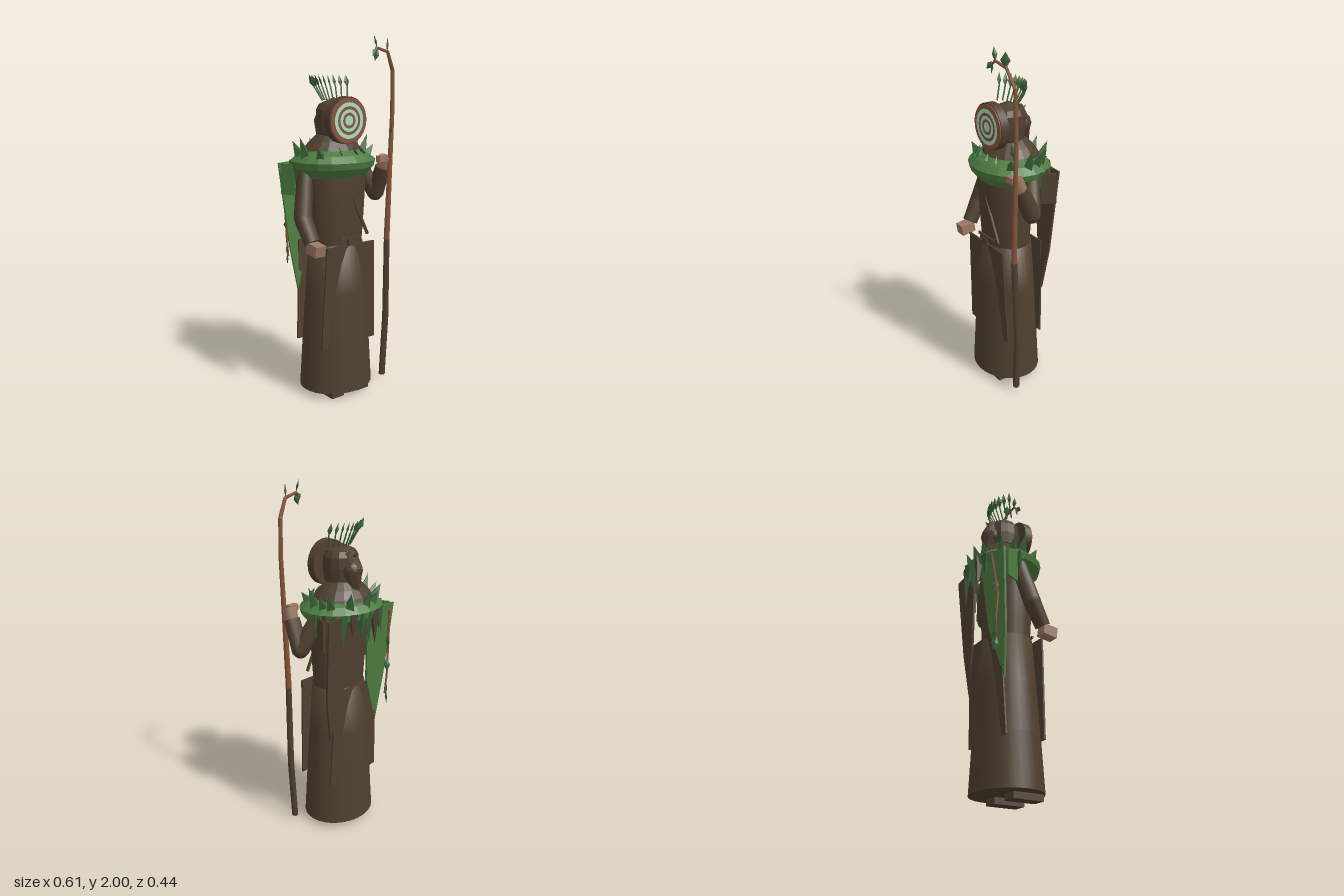
import * as THREE from 'three';

const mat = (name, color) => {
  const m = new THREE.MeshStandardMaterial({ color });
  m.name = name;
  return m;
};
const V = (x, y, z) => new THREE.Vector3(x, y, z);
const CX = -0.018; // body axis

export function createModel() {
  const brown = mat('dark brown cloth', 0x4f402f);
  const green = mat('moss green', 0x4c7b3f);
  const leafGreen = mat('leaf green', 0x3a6338);
  const bark = mat('reddish wood', 0x87553b);
  const skin = mat('skin', 0x9c7662);
  const mint = mat('pale mint', 0xa9dcc0);
  const root = new THREE.Group();
  root.name = 'robedFigure';

  const add = (name, geo, material, parent = root) => {
    const m = new THREE.Mesh(geo, material);
    m.name = name;
    parent.add(m);
    return m;
  };
  const group = (name) => {
    const g = new THREE.Group();
    g.name = name;
    root.add(g);
    return g;
  };
  const flat = (geo) => {
    const g = geo.index ? geo.toNonIndexed() : geo;
    g.computeVertexNormals();
    return g;
  };
  const box = (name, w, h, d, x, y, z, material, parent) => {
    const m = add(name, new THREE.BoxGeometry(w, h, d), material, parent);
    m.position.set(x, y, z);
    return m;
  };
  // Turned shape around the body axis, squashed front to back
  const turned = (name, profile, sides, depth, z, material, faceted) => {
    let g = new THREE.LatheGeometry(profile.map(([r, y]) => new THREE.Vector2(r, y)), sides);
    if (faceted) g = flat(g);
    const m = add(name, g, material);
    m.position.set(CX, 0, z);
    m.scale.z = depth;
    return m;
  };
  // Put the middle of a y-aligned geometry between two points
  const between = (name, geo, a, b, material, parent) => {
    const m = add(name, geo, material, parent);
    m.position.copy(a).lerp(b, 0.5);
    m.quaternion.setFromUnitVectors(V(0, 1, 0), b.clone().sub(a).normalize());
    return m;
  };
  const limb = (name, pts, radii, sides, material, parent) => {
    for (let i = 0; i < pts.length - 1; i++) {
      const g = new THREE.CylinderGeometry(radii[i + 1], radii[i], pts[i].distanceTo(pts[i + 1]), sides);
      between(name, g, pts[i], pts[i + 1], material, parent);
      if (i > 0) add(name + 'Joint', new THREE.SphereGeometry(radii[i], sides, 6), material, parent).position.copy(pts[i]);
    }
  };
  const leaf = (a, b, width, material, parent, spin = 0) => {
    const g = flat(new THREE.OctahedronGeometry(1));
    g.scale(width, a.distanceTo(b) / 2, 0.006);
    g.rotateY(spin);
    between('leaf', g, a, b, material, parent);
  };
  const spike = (a, b, r, material, parent) =>
    between('spike', flat(new THREE.ConeGeometry(r, a.distanceTo(b), 4)), a, b, material, parent);

  // Feet, skirt and torso
  for (const s of [-1, 1]) box('foot', 0.085, 0.05, 0.18, CX + s * 0.09, 0.025, 0.073, brown);
  turned('skirt', [[0, 0.035], [0.218, 0.035], [0.218, 0.036], [0.2, 0.33], [0.182, 0.6], [0.16, 0.875], [0, 0.875]],
    32, 0.87, 0.024, brown);
  turned('torso', [[0.158, 0.86], [0.168, 1.0], [0.182, 1.25], [0.165, 1.34], [0, 1.38]], 24, 0.78, 0.024, brown);

  // Flat skirt aprons, front and back, which the skirt bulges through
  for (const s of [-1, 1]) {
    const sh = new THREE.Shape([[-0.165, 0.88], [-0.19, 0.3], [0.19, 0.3], [0.165, 0.88]].map(([x, y]) => new THREE.Vector2(x, y)));
    const g = new THREE.ExtrudeGeometry(sh, { depth: 0.01, bevelEnabled: false });
    const p = g.attributes.position;
    for (let i = 0; i < p.count; i++) p.setZ(i, p.getZ(i) - 0.005 + s * (0.133 - (0.88 - p.getY(i)) * 0.03));
    g.computeVertexNormals();
    add(s > 0 ? 'frontApron' : 'backApron', g, brown).position.set(CX, 0, 0.024);
  }

  // Belt, buckle and slanted strap
  box('belt', 0.15, 0.014, 0.01, CX, 0.918, 0.155, brown);
  box('buckle', 0.042, 0.036, 0.014, CX, 0.893, 0.16, brown);
  const strap = box('strap', 0.014, 0.28, 0.012, 0.04, 1.05, 0.157, brown);
  strap.rotation.z = 0.46;

  // Cape: brown panel on the left, green on the right
  const cape = group('cape');
  const panel = (name, pts, material) => {
    const g = new THREE.ExtrudeGeometry(new THREE.Shape(pts.map(([x, y]) => new THREE.Vector2(x, y))),
      { depth: 0.012, bevelEnabled: false });
    const p = g.attributes.position;
    for (let i = 0; i < p.count; i++) {
      const top = (p.getY(i) - 0.6) / 0.72;
      p.setZ(i, p.getZ(i) - 0.105 - 0.06 * top + 0.1 * Math.max(0, Math.abs(p.getX(i) - CX) - 0.15));
    }
    g.computeVertexNormals();
    add(name, g, material, cape);
  };
  panel('leftCapePanel', [[0.02, 1.33], [0.09, 0.92], [0.175, 0.6], [0.215, 0.85], [0.235, 1.32]], brown);
  panel('rightCapePanel', [[-0.05, 1.33], [-0.285, 1.32], [-0.245, 0.88], [-0.2, 0.6], [-0.09, 0.9]], green);

  // Collar of moss with the cowl above it
  turned('collar', [[0.16, 1.25], [0.18, 1.235], [0.238, 1.3], [0.248, 1.335], [0.21, 1.37], [0.16, 1.395]], 20, 0.86, 0, green, true);
  turned('cowl', [[0.18, 1.37], [0.165, 1.4], [0.13, 1.44], [0.095, 1.47], [0.07, 1.49]], 18, 0.88, -0.01, brown, true);

  // Spikes and hanging shards around the collar
  const trim = group('collarLeaves');
  const ring = (t, r, y) => V(CX + r * Math.sin(t), y, r * 0.86 * Math.cos(t));
  for (const [t, h] of [[1.5, 0.11], [-1.5, 0.11], [2.1, 0.09], [-2.2, 0.08], [2.65, 0.09], [-2.75, 0.07],
    [0.95, 0.06], [-0.95, 0.06], [3.2, 0.08], [1.85, 0.07], [-1.85, 0.07]])
    spike(ring(t, 0.195, 1.36), ring(t, 0.235, 1.36 + h), 0.034, leafGreen, trim);
  for (const [t, d] of [[0.45, 0.05], [-0.4, 0.05], [0.1, 0.05], [-0.75, 0.05]])
    leaf(ring(t, 0.17, 1.42), ring(t + 0.12, 0.21, 1.39 - d), 0.016, leafGreen, trim, t);
  for (let i = 0; i < 13; i++) {
    const t = 1.75 + i * 0.235;
    const len = 0.13 + 0.07 * ((i * 5) % 4) / 3;
    spike(ring(t, 0.225, 1.335), ring(t, 0.235, 1.335 - len), 0.03, i % 3 === 1 ? brown : leafGreen, trim);
  }
  // Shoulder flaps
  for (const s of [-1, 1]) {
    const flap = box('shoulderFlap', 0.012, 0.17, 0.09, CX + s * 0.245, 1.235, -0.085, s < 0 ? green : brown, trim);
    flap.rotation.y = s * -0.4;
  }

  // Hood and its trailing tip
  turned('hood', [[0.07, 1.45], [0.092, 1.48], [0.1, 1.55], [0.097, 1.61], [0.08, 1.64], [0, 1.675]], 14, 0.98, 0.005, brown, true);
  const tail = group('hoodTail');
  limb('tail', [V(CX, 1.63, -0.045), V(CX, 1.54, -0.075), V(CX, 1.38, -0.115)], [0.045, 0.062, 0.012], 6, brown, tail);
  spike(V(CX, 1.59, -0.06), V(CX, 1.635, -0.115), 0.04, brown, tail);

  // Round mask with target rings
  const mask = group('mask');
  mask.position.set(CX, 1.555, 0);
  const disc = (name, r, z0, z1, material) => {
    const m = add(name, new THREE.CylinderGeometry(r, r, z1 - z0, 32), material, mask);
    m.rotation.x = Math.PI / 2;
    m.position.z = (z0 + z1) / 2;
  };
  disc('maskRim', 0.127, 0.085, 0.132, brown);
  disc('maskFace', 0.121, 0.132, 0.138, bark);
  for (const [r0, r1] of [[0.076, 0.097], [0.042, 0.06], [0, 0.027]]) {
    const g = r0 ? new THREE.RingGeometry(r0, r1, 32) : new THREE.CircleGeometry(r1, 24);
    add('maskRing', g, mint, mask).position.z = 0.141;
  }

  // Crown of leafy stalks
  const crown = group('crown');
  for (let i = 0; i < 9; i++) {
    const t = (i - 4) / 4;
    const z = -0.065 + 0.045 * t * t;
    const a = V(CX + t * 0.085, 1.66, z + 0.035);
    const b = V(CX + t * 0.115, 1.735, z);
    const c = V(CX + t * 0.125 - 0.012, 1.795, z - 0.015);
    limb('stalk', [a, b], [0.005, 0.005], 4, leafGreen, crown);
    leaf(b.clone().lerp(a, 0.15), c, 0.018, leafGreen, crown, 0.9 - t);
  }

  // Right arm, hanging
  const rightArm = group('rightArm');
  limb('sleeve', [V(-0.2, 1.3, -0.01), V(-0.258, 1.04, 0.045), V(-0.25, 0.915, 0.115)], [0.045, 0.05, 0.044], 10, brown, rightArm);
  const hand = box('rightHand', 0.065, 0.06, 0.085, -0.248, 0.885, 0.147, skin, rightArm);
  hand.rotation.x = 0.15;

  // Left arm, raised to grip the staff
  const leftArm = group('leftArm');
  limb('sleeve', [V(0.17, 1.3, -0.01), V(0.255, 1.13, 0.045), V(0.25, 1.285, 0.115)], [0.045, 0.05, 0.044], 10, brown, leftArm);
  limb('leftHand', [V(0.25, 1.27, 0.108), V(0.242, 1.345, 0.135)], [0.035, 0.035], 8, skin, leftArm);
  box('leftThumb', 0.06, 0.035, 0.035, 0.215, 1.335, 0.145, skin, leftArm);

  // Crooked staff with leaves
  const staff = group('staff');
  limb('lowerShaft', [V(0.245, 0.035, 0.135), V(0.262, 0.4, 0.14), V(0.25, 0.87, 0.155)], [0.019, 0.019, 0.017], 7, brown, staff);
  limb('upperShaft', [V(0.25, 0.87, 0.155), V(0.264, 1.3, 0.157), V(0.273, 1.6, 0.16), V(0.267, 1.82, 0.162),
    V(0.215, 1.915, 0.178), V(0.13, 1.935, 0.185), V(0.105, 1.9, 0.195)], [0.017, 0.014, 0.012, 0.011, 0.009, 0.007, 0.005], 6, bark, staff);
  leaf(V(0.21, 1.91, 0.18), V(0.212, 1.99, 0.18), 0.026, leafGreen, staff, 0.7);
  leaf(V(0.135, 1.93, 0.185), V(0.115, 2.0, 0.18), 0.014, leafGreen, staff, 0.8);
  leaf(V(0.12, 1.93, 0.195), V(0.085, 1.89, 0.205), 0.018, leafGreen, staff, 0.6);
  leaf(V(0.13, 1.93, 0.195), V(0.11, 1.865, 0.195), 0.016, leafGreen, staff, 0.6);
  leaf(V(0.27, 1.46, 0.16), V(0.255, 1.54, 0.175), 0.02, leafGreen, staff, 0.8);

  // Vine trailing over the green cape panel
  const vine = group('vine');
  limb('stem', [V(-0.21, 1.3, -0.185), V(-0.235, 1.05, -0.16), V(-0.225, 0.9, -0.165), V(-0.22, 0.78, -0.155)],
    [0.007, 0.007, 0.006, 0.005], 5, bark, vine);
  for (const y of [1.14, 1.0, 0.86, 0.8])
    leaf(V(-0.225, y, -0.16), V(-0.215, y - 0.075, -0.175), 0.02, leafGreen, vine, y * 9);

  return root;
}
